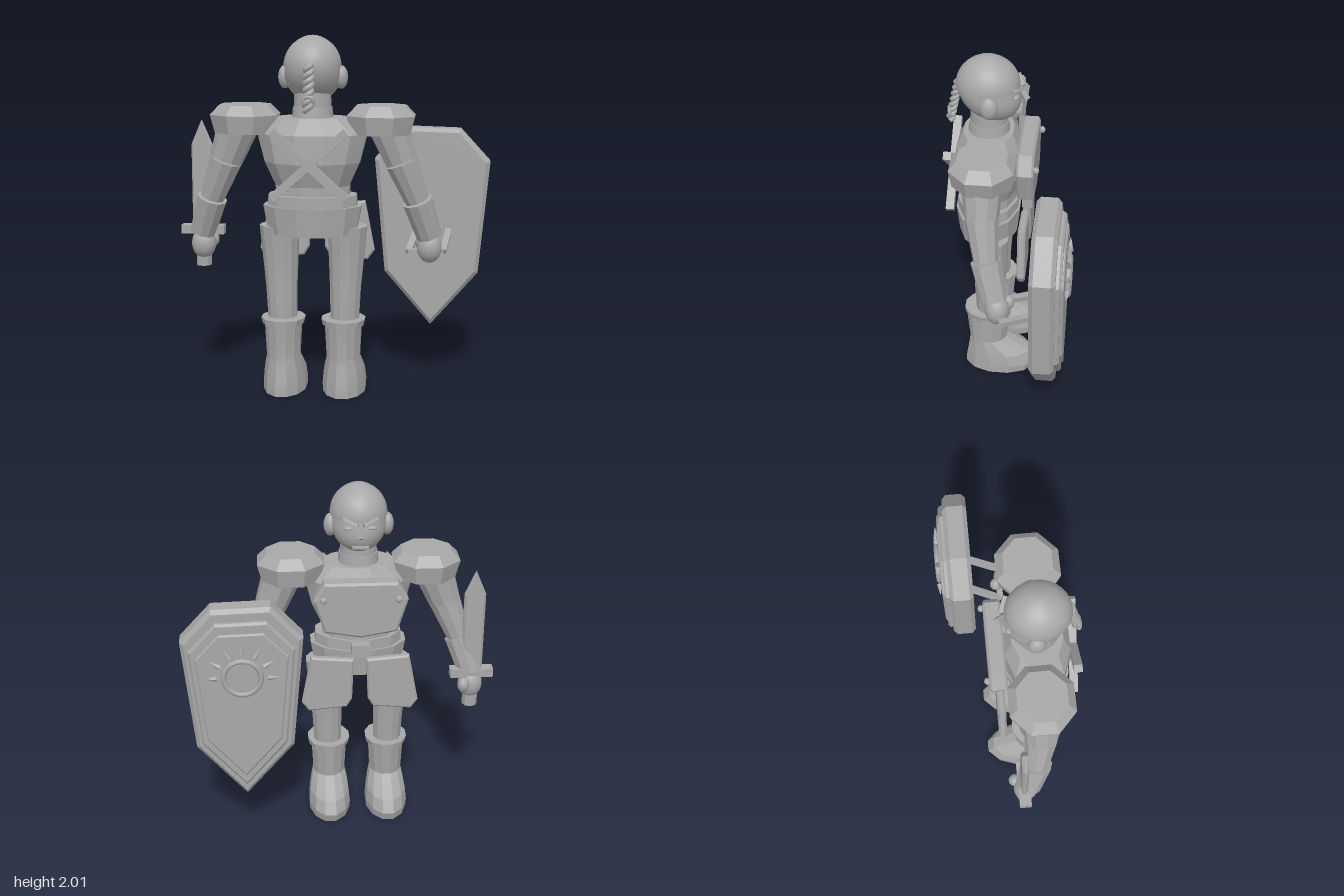
import * as THREE from 'three';
import { toCreasedNormals } from 'three/addons/utils/BufferGeometryUtils.js';

const V = (x, y, z) => new THREE.Vector3(x, y, z);

export function createModel() {
  const grey = new THREE.MeshStandardMaterial({ color: 0xa8a8a8 });
  grey.name = 'plain grey';
  const model = new THREE.Group();
  const figure = new THREE.Group();
  figure.name = 'figure';
  figure.position.x = -0.11;
  model.add(figure);

  function add(name, geo, parent = figure, crease = 0.2) {
    const mesh = new THREE.Mesh(crease ? toCreasedNormals(geo, crease) : geo, grey);
    mesh.name = name;
    parent.add(mesh);
    return mesh;
  }

  // Closed loft through horizontal rings [y, xCentre, zCentre, xRadius, zRadius]
  function loft(rings, n = 12) {
    const pos = [], idx = [];
    for (const [y, cx, cz, rx, rz] of rings)
      for (let i = 0; i < n; i++) {
        const a = ((i + 0.5) / n) * Math.PI * 2;
        pos.push(cx + rx * Math.sin(a), y, cz + rz * Math.cos(a));
      }
    for (let r = 0; r < rings.length - 1; r++)
      for (let i = 0; i < n; i++) {
        const a = r * n + i, b = r * n + (i + 1) % n;
        idx.push(a, b, b + n, a, b + n, a + n);
      }
    const top = (rings.length - 1) * n;
    for (let i = 1; i < n - 1; i++) {
      idx.push(0, i + 1, i);
      idx.push(top, top + i, top + i + 1);
    }
    const g = new THREE.BufferGeometry();
    g.setAttribute('position', new THREE.Float32BufferAttribute(pos, 3));
    g.setIndex(idx);
    g.computeVertexNormals();
    return g;
  }

  // Align a geometry built along +y between two points
  function between(geo, a, b) {
    const q = new THREE.Quaternion().setFromUnitVectors(V(0, 1, 0), b.clone().sub(a).normalize());
    geo.applyQuaternion(q);
    const m = a.clone().add(b).multiplyScalar(0.5);
    return geo.translate(m.x, m.y, m.z);
  }
  const rod = (a, b, ra, rb, n = 10) => between(new THREE.CylinderGeometry(rb, ra, a.distanceTo(b), n), a, b);
  const bar = (a, b, w, d) => between(new THREE.BoxGeometry(w, a.distanceTo(b), d), a, b);
  const ball = (x, y, z, rx, ry, rz, w = 16, h = 12) =>
    new THREE.SphereGeometry(1, w, h).scale(rx, ry, rz).translate(x, y, z);

  // Bevelled flat plate from z0 to z1
  function plate(points, z0, z1, bevel = 0.01) {
    const shape = new THREE.Shape(points.map(p => new THREE.Vector2(p[0], p[1])));
    return new THREE.ExtrudeGeometry(shape, {
      depth: z1 - z0 - 2 * bevel, bevelEnabled: true, bevelThickness: bevel,
      bevelSize: bevel, bevelOffset: -bevel, bevelSegments: 1
    }).translate(0, 0, z0 + bevel);
  }

  // Torso, belt and hips
  add('torso', loft([
    [1.10, 0, 0.135, 0.21, 0.15], [1.19, 0, 0.135, 0.21, 0.15], [1.32, 0, 0.14, 0.27, 0.19],
    [1.475, 0, 0.14, 0.31, 0.18], [1.565, 0, 0.14, 0.2, 0.14]
  ]));
  add('belt', loft([[1.06, 0, 0.145, 0.255, 0.175], [1.14, 0, 0.145, 0.25, 0.175]]));
  add('hips', loft([[0.92, 0, 0.145, 0.25, 0.17], [1.08, 0, 0.145, 0.28, 0.185]]));
  add('buckle', new THREE.BoxGeometry(0.1, 0.07, 0.06).translate(0, 1.112, -0.075));

  // Chest plate with rivets
  add('chestPlate', plate([
    [-0.2, 1.53], [-0.258, 1.43], [-0.2, 1.24], [0, 1.205], [0.2, 1.24], [0.258, 1.43], [0.2, 1.53]
  ], -0.125, -0.03, 0.012));

  // Crossed bars on the back
  add('backBarA', bar(V(-0.2, 1.5, 0.34), V(0.2, 1.14, 0.34), 0.045, 0.045));
  add('backBarB', bar(V(0.2, 1.5, 0.345), V(-0.2, 1.14, 0.335), 0.045, 0.045));

  for (const s of [-1, 1]) {
    add('chestRivet', ball(s * 0.205, 1.44, -0.135, 0.02, 0.02, 0.018, 8, 6));
    add('hipPlate', plate([
      [s * 0.035, 1.05], [s * 0.045, 0.8], [s * 0.075, 0.75], [s * 0.29, 0.73],
      [s * 0.33, 0.785], [s * 0.275, 1.07]
    ], -0.087, -0.042));

    // Shoulder guard
    add('shoulderGuard', loft([
      [1.475, s * 0.375, 0.13, 0.172, 0.17], [1.575, s * 0.375, 0.13, 0.2, 0.185],
      [1.63, s * 0.375, 0.13, 0.145, 0.14]
    ], 8));

    // Arm
    const shoulder = V(s * 0.405, 1.54, 0.13), mid = V(s * 0.487, 1.32, 0.125);
    const elbow = V(s * 0.575, 1.1, 0.095), wrist = V(s * 0.643, 0.895, 0.045);
    add('upperArm', rod(shoulder, mid, 0.118, 0.092));
    add('lowerArm', rod(mid, elbow, 0.092, 0.068));
    add('bracer', rod(elbow, wrist, 0.085, 0.073));
    add('hand', ball(s * 0.643, 0.825, 0.03, 0.07, 0.088, 0.066), figure, 0);
    add('thumb', ball(s * 0.597, 0.84, -0.025, 0.034, 0.045, 0.036, 10, 8), figure, 0);

    // Leg and boot
    add('leg', loft([
      [0.36, s * 0.175, 0.125, 0.08, 0.078], [0.6, s * 0.18, 0.125, 0.088, 0.088],
      [0.7, s * 0.183, 0.12, 0.095, 0.092], [0.96, s * 0.19, 0.125, 0.112, 0.113]
    ]));
    add('bootCuff', loft([[0.4, s * 0.17, 0.137, 0.118, 0.137], [0.435, s * 0.17, 0.137, 0.126, 0.14]]));
    add('boot', loft([
      [0, s * 0.17, 0.068, 0.124, 0.21], [0.05, s * 0.17, 0.06, 0.125, 0.218],
      [0.12, s * 0.17, 0.073, 0.118, 0.193], [0.17, s * 0.17, 0.108, 0.108, 0.148],
      [0.215, s * 0.17, 0.137, 0.096, 0.113], [0.41, s * 0.17, 0.137, 0.106, 0.131]
    ]));

    // Ear, eye and brow
    add('ear', ball(s * 0.155, 1.78, 0.122, 0.037, 0.064, 0.048), figure, 0);
    add('eye', ball(s * 0.062, 1.805, -0.012, 0.03, 0.011, 0.018, 10, 6), figure, 0);
    add('brow', bar(V(s * 0.015, 1.832, -0.045), V(s * 0.09, 1.86, -0.012), 0.014, 0.025));
  }

  // Head with a narrower, forward jaw
  const head = new THREE.SphereGeometry(1, 28, 20);
  const p = head.attributes.position;
  for (let i = 0; i < p.count; i++) {
    const t = Math.max(0, -p.getY(i));
    p.setX(i, p.getX(i) * (1 + 0.12 * t));
    p.setZ(i, p.getZ(i) * (1 + 0.1 * t) - 0.28 * t);
  }
  head.scale(0.153, 0.182, 0.167).translate(0, 1.825, 0.142);
  head.computeVertexNormals();
  add('head', head, figure, 0);
  add('scalp', new THREE.SphereGeometry(1, 28, 10, 0, Math.PI * 2, 0, Math.PI / 2)
    .scale(0.158, 0.163, 0.173).translate(0, 1.84, 0.143), figure, 0);
  add('neck', loft([[1.5, 0, 0.14, 0.107, 0.105], [1.7, 0, 0.14, 0.1, 0.1]], 20), figure, 0.5);
  add('collar', loft([[1.55, 0, 0.14, 0.115, 0.115], [1.62, 0, 0.14, 0.108, 0.107]], 20), figure, 0.5);
  add('nose', rod(V(0, 1.76, -0.062), V(0, 1.835, -0.022), 0.024, 0.01, 4));
  add('mouth', bar(V(-0.045, 1.7, -0.025), V(0.045, 1.7, -0.025), 0.012, 0.03));

  // Twisted braid with a ring
  for (const phase of [0, Math.PI]) {
    const pts = [];
    for (let i = 0; i <= 40; i++) {
      const t = i / 40, a = phase + t * Math.PI * 7;
      pts.push(V(0.017 * Math.cos(a), 1.86 - 0.25 * t, 0.3 + 0.052 * t + 0.012 * Math.sin(a)));
    }
    add('braidStrand', new THREE.TubeGeometry(new THREE.CatmullRomCurve3(pts), 80, 0.016, 6), figure, 0);
  }
  add('braidRing', new THREE.TorusGeometry(0.028, 0.01, 6, 14).rotateX(0.2).translate(0, 1.66, 0.35), figure, 0);

  // Sword in the right hand
  const sword = new THREE.Group();
  sword.name = 'sword';
  sword.position.set(-0.755, 0, 0.02);
  model.add(sword);
  add('blade', plate([[-0.06, 0.91], [0.06, 0.91], [0.06, 1.39], [0, 1.53], [-0.06, 1.39]], -0.018, 0.018, 0.012), sword);
  add('crossGuard', new THREE.BoxGeometry(0.245, 0.05, 0.065).translate(0, 0.905, 0), sword);
  add('grip', new THREE.CylinderGeometry(0.036, 0.036, 0.2, 8).translate(0, 0.83, 0), sword);
  add('pommel', new THREE.CylinderGeometry(0.044, 0.044, 0.065, 8).translate(0, 0.728, 0), sword);

  // Shield in the left hand: body, raised rim and panel
  const shield = new THREE.Group();
  shield.name = 'shield';
  shield.position.set(0.54, 0.95, 0);
  model.add(shield);
  const outline = k => [
    [-0.16, 0.53], [-0.33, 0.345], [-0.27, -0.315], [0, -0.63],
    [0.27, -0.315], [0.33, 0.335], [0.16, 0.52]
  ].map(([x, y]) => [x * k, y * k]);
  add('shieldBody', plate(outline(1), -0.298, -0.165, 0.022), shield);
  add('shieldRim', plate(outline(0.87), -0.326, -0.28, 0.012), shield);
  add('shieldPanel', plate(outline(0.76), -0.338, -0.3, 0.008), shield);

  // Round emblem with rays over its upper half
  const cy = 0.15;
  add('emblemDisc', new THREE.CylinderGeometry(0.085, 0.095, 0.03, 24).rotateX(-Math.PI / 2)
    .translate(0, cy, -0.345), shield, 0.5);
  add('emblemRing', new THREE.TorusGeometry(0.1, 0.015, 8, 28).translate(0, cy, -0.352), shield, 0);
  for (let i = 0; i < 7; i++) {
    const a = (i / 6) * Math.PI, at = r => V(r * Math.cos(a), cy + r * Math.sin(a), -0.35);
    add('emblemRay', rod(at(0.137), at(0.2), 0.016, 0.002, 6), shield);
  }

  // Handle behind the shield
  const gripL = V(-0.125, -0.16, -0.005), gripR = V(0.07, -0.155, -0.005);
  add('shieldGrip', bar(gripL, gripR, 0.035, 0.035), shield);
  add('shieldStrut', bar(gripL, V(-0.085, -0.065, -0.18), 0.035, 0.03), shield);
  add('shieldStrut', bar(gripR, V(0.1, -0.06, -0.18), 0.035, 0.03), shield);

  return model;
}
